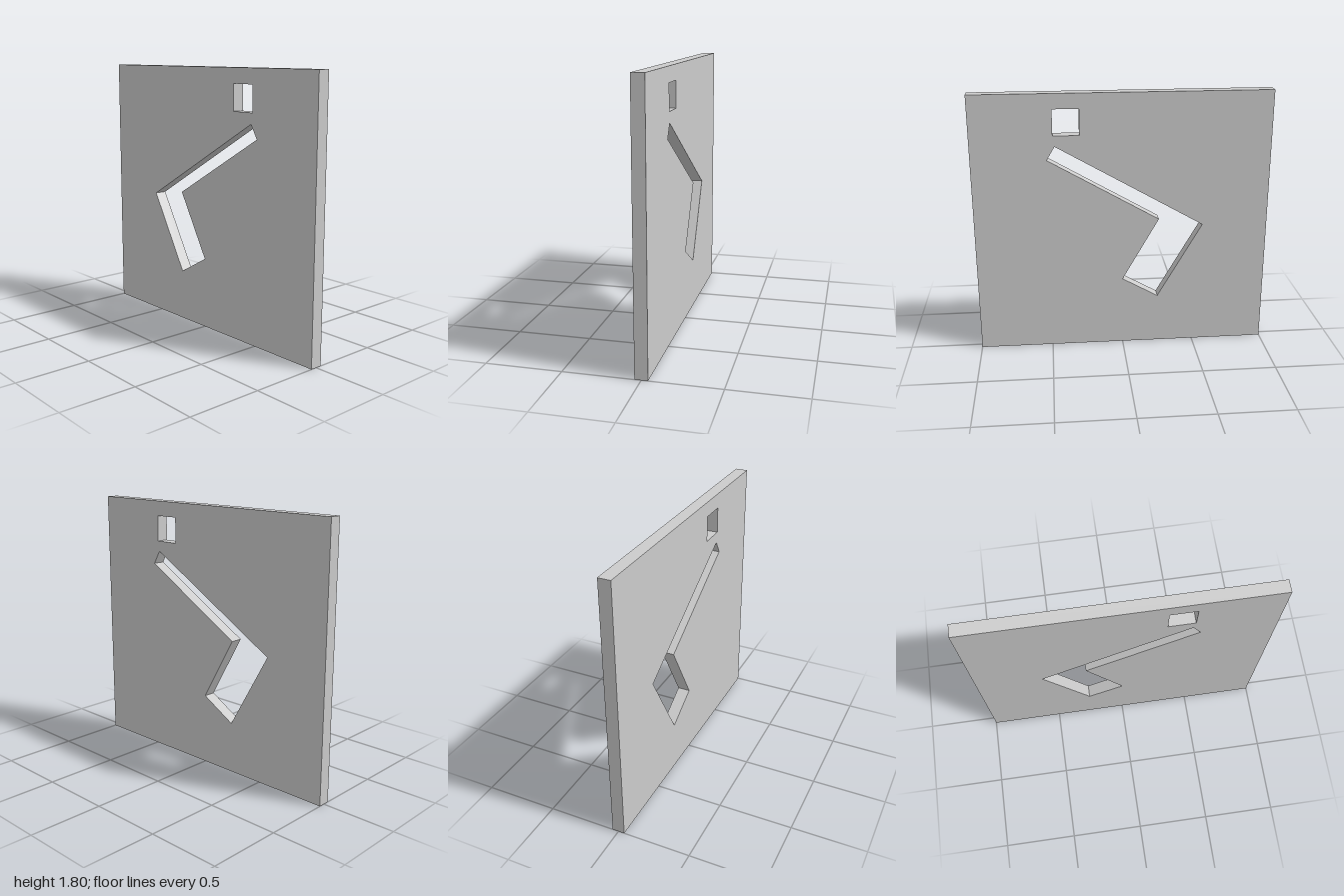
import * as THREE from 'three';

const HEIGHT = 1.805;
const DEPTH = 0.084;

const points = (list) => list.map(([x, y]) => new THREE.Vector2(x, y));

export function createModel() {
  const group = new THREE.Group();
  group.name = 'slottedPlate';

  // Rectangular plate outline
  const outline = new THREE.Shape(points([[-1, 0], [1, 0], [1, HEIGHT], [-1, HEIGHT]]));

  // Square window near the top
  const squareHole = new THREE.Path(points([
    [0.283, 1.527], [0.283, 1.703], [0.458, 1.703], [0.458, 1.527],
  ]));

  // Tilted L-shaped slot: narrow long arm, wide short arm
  const angledSlot = new THREE.Path(points([
    [0.447, 1.455], [0.501, 1.363], [-0.249, 0.929],
    [0.0, 0.491], [-0.246, 0.351], [-0.551, 0.88],
  ]));

  outline.holes.push(squareHole, angledSlot);

  // Plate, centred in depth
  const geometry = new THREE.ExtrudeGeometry(outline, { depth: DEPTH, bevelEnabled: false });
  geometry.translate(0, 0, -DEPTH / 2);

  const plate = new THREE.Mesh(
    geometry,
    new THREE.MeshStandardMaterial({ color: 0xcccccc, flatShading: true }),
  );
  plate.name = 'plate';
  group.add(plate);
  return group;
}
